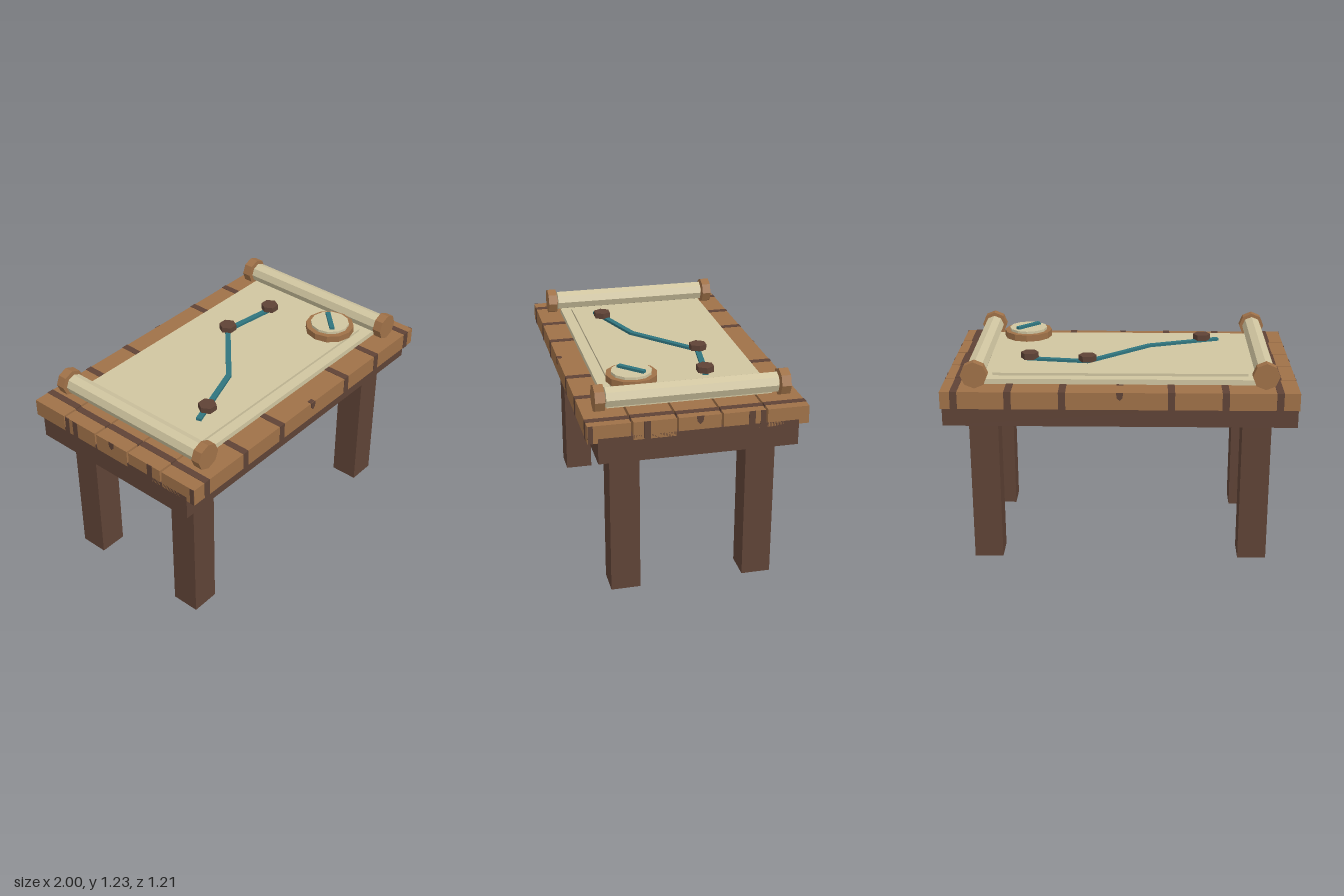
import * as THREE from 'three';

const mat = (name, color) => {
  const m = new THREE.MeshStandardMaterial({ color });
  m.name = name;
  return m;
};

export function createModel() {
  const wood = mat('warm wood', 0x9f7148);
  const dark = mat('dark wood', 0x5f4336);
  const paper = mat('parchment', 0xd0c5a0);
  const teal = mat('teal ink', 0x2f747e);

  const model = new THREE.Group();
  model.name = 'mapTable';

  const add = (name, geometry, material, x, y, z, parent = model) => {
    const mesh = new THREE.Mesh(geometry, material);
    mesh.name = name;
    mesh.position.set(x, y, z);
    parent.add(mesh);
    return mesh;
  };
  const box = (name, material, w, h, d, x, y, z, parent) =>
    add(name, new THREE.BoxGeometry(w, h, d), material, x, y, z, parent);
  // Faceted prism standing on y; turn puts a corner on the x axis
  const prism = (r, h, sides) => {
    const g = new THREE.CylinderGeometry(r, r, h, sides).rotateY(Math.PI / 2).toNonIndexed();
    g.computeVertexNormals();
    return g;
  };

  // Legs and apron
  for (const sx of [-1, 1]) for (const sz of [-1, 1])
    box('leg', dark, 0.166, 0.865, 0.166, sx * 0.778, 0.4325, sz * 0.38);
  box('apron', dark, 1.996, 0.145, 1.09, 0, 0.9325, 0);

  // Five planks, each wrapped by thin dark grain bands
  const top = new THREE.Group();
  top.name = 'tableTop';
  model.add(top);
  const bands = [-0.893, -0.587, -0.282, 0.318, 0.618, 0.925];
  const depth = 0.23;
  for (let i = -2; i <= 2; i++) {
    const z = i * 0.2425;
    box('plank', wood, 1.996, 0.1, depth, 0, 1.03, z, top);
    bands.forEach((x, k) => {
      const shift = 0.005 * Math.sin(i * 2.3 + k * 1.7);
      box('grainBand', dark, 0.04, 0.104, depth + 0.004, x + shift, 1.03, z, top);
    });
  }

  // Short tapered knots on the long edges
  const knot = new THREE.Shape();
  knot.moveTo(-0.02, 0);
  knot.lineTo(-0.016, -0.03);
  knot.lineTo(0, -0.046);
  knot.lineTo(0.016, -0.03);
  knot.lineTo(0.02, 0);
  const knotGeo = new THREE.ExtrudeGeometry(knot, { depth: 0.003, bevelEnabled: false });
  for (const s of [-1, 1]) {
    add('knot', knotGeo, dark, 0, 1.081, s * 0.6, top).rotation.y = s > 0 ? 0 : Math.PI;
    add('knot', knotGeo, dark, s * 0.997, 1.081, 0, top).rotation.y = s * Math.PI / 2;
    // End grain
    for (const [z, w] of [[0.584, 0.027], [0.283, 0.036], [-0.283, 0.036], [-0.345, 0.03]])
      box('endGrain', dark, 0.005, 0.1, w, s * 0.9975, 1.03, z, top);
  }
  add('topKnot', knotGeo, dark, 0, 1.079, -0.535, top).rotation.x = Math.PI / 2;
  box('topKnot', dark, 0.034, 0.004, 0.025, 0, 1.08, 0.586, top);
  const backKnot = top.children[top.children.length - 2];
  backKnot.scale.y = -1.4;
  backKnot.position.set(0, 1.082, -0.47);
  backKnot.material = dark;

  // Map sheet with a raised inner panel
  box('mapSheet', paper, 1.58, 0.03, 0.915, 0, 1.095, 0);
  box('mapPanel', paper, 1.45, 0.015, 0.79, 0, 1.1175, 0);

  // Rolled ends with wooden knobs
  for (const s of [-1, 1]) {
    const roll = new THREE.Group();
    roll.name = 'scrollRoll';
    roll.position.set(s * 0.812, 1.155, 0);
    model.add(roll);
    add('rolledPaper', prism(0.0575, 0.945, 8).rotateX(Math.PI / 2), paper, 0, 0, 0, roll);
    add('rod', prism(0.03, 1.0, 8).rotateX(Math.PI / 2), wood, 0, 0, 0, roll);
    for (const e of [-1, 1])
      add('rollKnob', prism(0.076, 0.053, 8).rotateX(Math.PI / 2), wood, 0, 0, e * 0.5085, roll);
  }

  // Route across the map
  const route = [[-0.583, 0.262], [-0.166, 0.118], [0.193, -0.198], [0.56, -0.146]];
  for (let i = 0; i < 3; i++) {
    const [x0, z0] = route[i], [x1, z1] = route[i + 1];
    const length = Math.hypot(x1 - x0, z1 - z0) + 0.01;
    box('routeSegment', teal, length, 0.016, 0.032, (x0 + x1) / 2, 1.132, (z0 + z1) / 2)
      .rotation.y = -Math.atan2(z1 - z0, x1 - x0);
  }
  for (const [x, z] of [[-0.487, 0.24], [0.193, -0.198], [0.533, -0.15]])
    add('marker', prism(0.052, 0.034, 6), dark, x, 1.155, z);

  // Compass
  const compass = new THREE.Group();
  compass.name = 'compass';
  compass.position.set(0.578, 0, 0.278);
  model.add(compass);
  add('compassCase', prism(0.144, 0.039, 12), wood, 0, 1.1655, 0, compass);
  add('compassDial', prism(0.114, 0.016, 12), paper, 0, 1.192, 0, compass);
  box('compassNeedle', teal, 0.172, 0.015, 0.028, 0, 1.2075, 0, compass).rotation.y = Math.PI / 4;

  return model;
}
